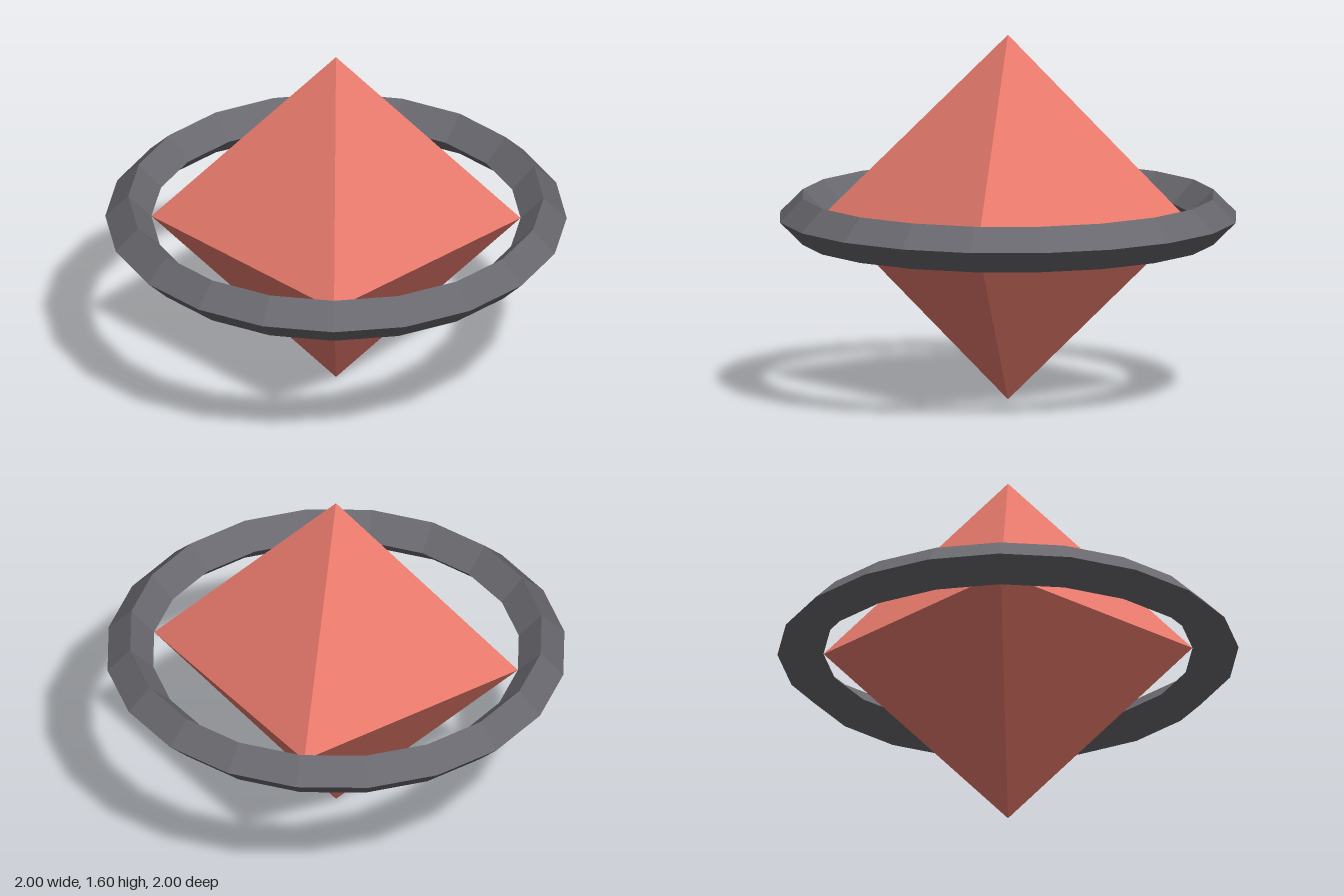
import * as THREE from 'three';

export function createModel() {
  const group = new THREE.Group();
  const radius = 0.8; // crystal radius, also the height of its centre

  const add = (name, geometry, color) => {
    const material = new THREE.MeshStandardMaterial({ color, flatShading: true });
    const mesh = new THREE.Mesh(geometry, material);
    mesh.name = name;
    mesh.position.y = radius;
    group.add(mesh);
  };

  // Eight-sided crystal standing on its lower tip
  add('crystal', new THREE.OctahedronGeometry(radius), 0xe87a6c);

  // Level ring with a diamond-shaped section around the crystal's waist
  add('ring', new THREE.TorusGeometry(0.9, 0.1, 4, 20).rotateX(Math.PI / 2), 0x68686e);

  return group;
}
